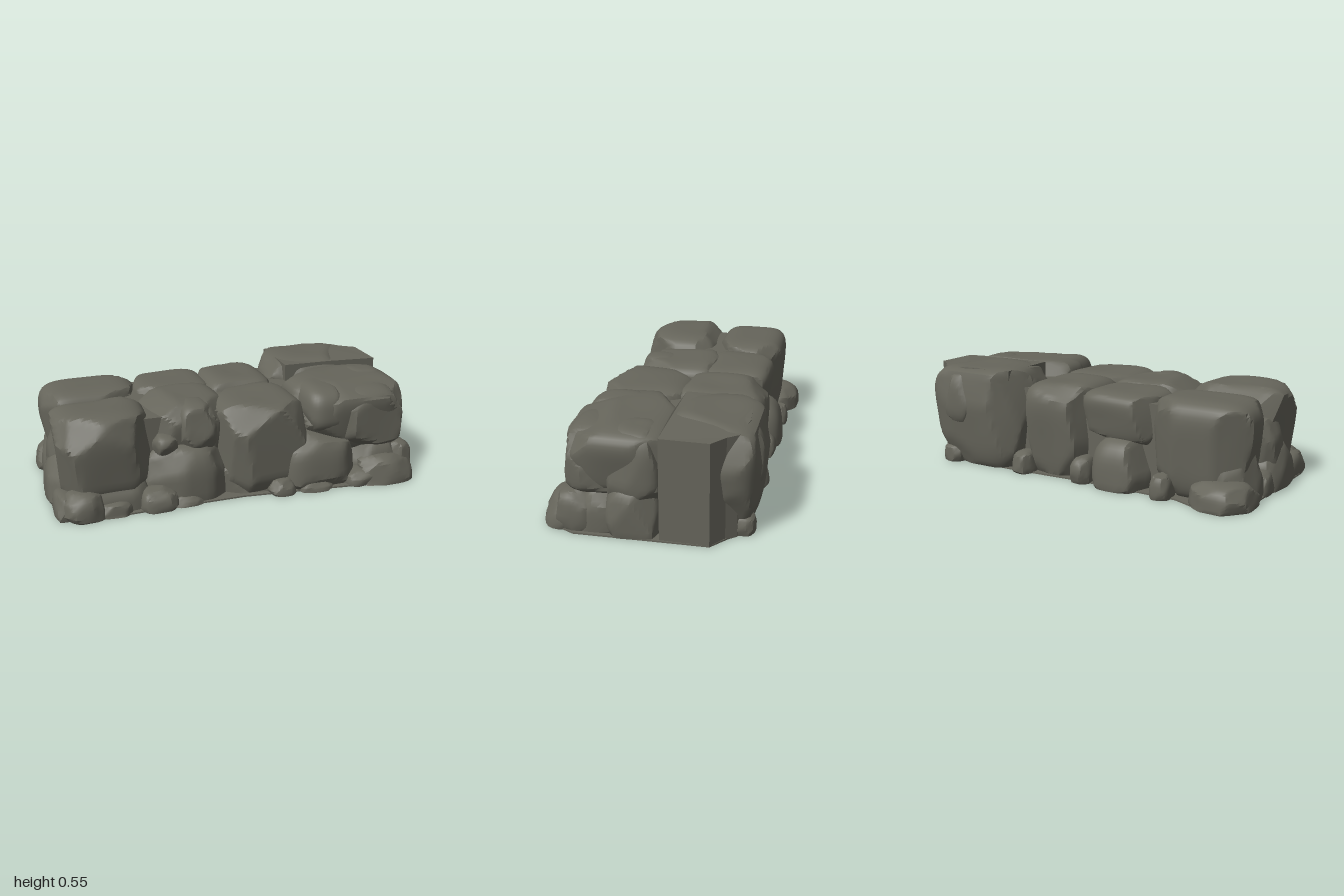
import * as THREE from 'three';
import { mergeVertices, toCreasedNormals } from 'three/addons/utils/BufferGeometryUtils.js';

const stone = new THREE.MeshStandardMaterial({ color: 0x66655b });
stone.name = 'grey stone';

// small seeded generator
function seeded(seed) {
  let s = seed * 7919 + 17;
  return () => {
    s = (s + 0x6d2b79f5) | 0;
    let t = Math.imul(s ^ (s >>> 15), 1 | s);
    t = (t + Math.imul(t ^ (t >>> 7), 61 | t)) ^ t;
    return ((t ^ (t >>> 14)) >>> 0) / 4294967296;
  };
}

// rounded, lumpy block chipped by random planes, fitted to a box and cut flat at the ground
function rock(min, max, seed, { power, segments, taper }) {
  const rnd = seeded(seed);
  const cuts = [];
  for (let i = 0; i < 22; i++) {
    const n = new THREE.Vector3(rnd() * 2 - 1, (rnd() * 2 - 1) * 0.7, rnd() * 2 - 1).normalize();
    const q = power / (power - 1);
    const reach = Math.pow(Math.abs(n.x) ** q + Math.abs(n.y) ** q + Math.abs(n.z) ** q, 1 / q);
    cuts.push({ n, d: reach * (0.82 + rnd() * 0.14) });
  }
  const phase = rnd() * 6;
  let geo = new THREE.BoxGeometry(2, 2, 2, segments, segments, segments);
  geo.deleteAttribute('uv');
  geo.deleteAttribute('normal');
  geo = mergeVertices(geo);
  const pos = geo.attributes.position;
  const v = new THREE.Vector3();
  for (let i = 0; i < pos.count; i++) {
    v.fromBufferAttribute(pos, i);
    const k = Math.abs(v.x) ** power + Math.abs(v.y) ** power + Math.abs(v.z) ** power;
    v.multiplyScalar(Math.pow(k, -1 / power));
    let scale = 1;
    for (const { n, d } of cuts) {
      const t = n.dot(v);
      if (t > d) scale = Math.min(scale, d / t);
    }
    scale *= 1 + 0.025 * Math.sin(3.1 * v.x + phase) * Math.sin(2.7 * v.z + 2 * phase) * Math.cos(2.3 * v.y + phase);
    v.multiplyScalar(scale);
    const widen = 1 + taper * v.y;
    pos.setXYZ(i, v.x * widen, v.y, v.z * widen);
  }
  geo.computeBoundingBox();
  const b = geo.boundingBox;
  const fit = (a, axis) => THREE.MathUtils.mapLinear(a, b.min[axis], b.max[axis], min[axis], max[axis]);
  for (let i = 0; i < pos.count; i++) {
    pos.setXYZ(i, fit(pos.getX(i), 'x'), Math.max(0, fit(pos.getY(i), 'y')), fit(pos.getZ(i), 'z'));
  }
  geo.computeVertexNormals();
  return toCreasedNormals(geo, 0.5);
}

// upright block from an x, z outline
function prism(outline, height) {
  const shape = new THREE.Shape(outline.map(([x, z]) => new THREE.Vector2(x, -z)));
  return new THREE.ExtrudeGeometry(shape, { depth: height, bevelEnabled: false }).rotateX(-Math.PI / 2);
}

// each entry: x from, x to, y from, y to, z from, z to
const capstones = [
  // front row
  [-0.96, -0.45, -0.05, 0.51, -0.1, 0.39],
  [-0.5, -0.02, 0.1, 0.5, -0.16, 0.3],
  [-0.12, 0.37, -0.03, 0.49, -0.08, 0.43],
  [0.34, 0.975, 0.14, 0.53, -0.11, 0.42],
  // back row
  [-0.96, -0.41, -0.02, 0.5, -0.45, -0.05],
  [-0.45, -0.02, 0.2, 0.49, -0.43, -0.06],
  [-0.07, 0.35, -0.1, 0.5, -0.46, 0.04],
  [0.33, 0.93, -0.05, 0.55, -0.52, -0.04],
];
const boulders = [
  // front
  [-0.53, -0.05, -0.12, 0.3, 0, 0.4],
  [0.21, 0.66, -0.12, 0.32, 0.05, 0.47],
  [0.51, 0.96, 0.16, 0.51, 0.05, 0.44],
  [-0.33, -0.11, 0.24, 0.5, 0.05, 0.34],
  [0.36, 0.62, 0.28, 0.53, 0, 0.41],
  [-0.9, -0.44, -0.15, 0.2, 0, 0.39],
  [-0.15, 0.28, -0.15, 0.18, 0, 0.4],
  [0.6, 0.98, -0.15, 0.24, 0.08, 0.44],
  // right end
  [0.6, 1, -0.2, 0.28, -0.09, 0.22],
  [0.68, 0.98, 0.12, 0.53, -0.09, 0.22],
  // left end
  [-1, -0.7, -0.15, 0.25, -0.12, 0.26],
  [-0.97, -0.7, 0.05, 0.38, -0.12, 0.12],
  [-0.97, -0.6, -0.1, 0.3, -0.42, -0.1],
  // back
  [-0.42, -0.1, -0.12, 0.27, -0.5, -0.1],
  [0.58, 0.84, 0.2, 0.54, -0.53, -0.2],
  [-0.99, -0.67, -0.06, 0.13, -0.535, -0.22],
];
const pebbles = [
  [-0.96, -0.73, -0.04, 0.14, 0.22, 0.45],
  [-0.99, -0.87, -0.04, 0.12, 0.15, 0.4],
  [-0.78, -0.6, -0.04, 0.07, 0.3, 0.43],
  [-0.56, -0.36, -0.04, 0.11, 0.28, 0.45],
  [-0.4, -0.22, -0.03, 0.05, 0.3, 0.43],
  [-0.46, -0.33, 0.25, 0.36, 0.15, 0.34],
  [0.13, 0.28, -0.03, 0.08, 0.33, 0.48],
  [0.3, 0.5, -0.03, 0.05, 0.36, 0.49],
  [0.57, 0.8, -0.03, 0.08, 0.33, 0.5],
  [0.65, 0.98, -0.06, 0.15, 0.26, 0.53],
  [0.83, 0.99, -0.04, 0.2, 0.25, 0.46],
  [-0.58, -0.47, -0.03, 0.12, -0.5, -0.36],
  [-0.11, 0.01, -0.03, 0.14, -0.49, -0.33],
  [0.25, 0.38, -0.03, 0.12, -0.5, -0.34],
  [0.72, 0.86, -0.03, 0.1, -0.5, -0.34],
  [-0.98, -0.86, -0.03, 0.12, -0.2, -0.04],
];

export function createModel() {
  const group = new THREE.Group();
  const add = (geometry, name) => {
    const mesh = new THREE.Mesh(geometry, stone);
    mesh.name = name;
    group.add(mesh);
  };
  let seed = 1;
  const addRocks = (list, name, style) => list.forEach(([x0, x1, y0, y1, z0, z1], i) =>
    add(rock({ x: x0, y: y0, z: z0 }, { x: x1, y: y1, z: z1 }, seed++, style), name + (i + 1)));

  addRocks(capstones, 'capstone', { power: 4.5, segments: 18, taper: 0.1 });
  addRocks(boulders, 'boulder', { power: 3.2, segments: 12, taper: -0.06 });
  addRocks(pebbles, 'pebble', { power: 3, segments: 8, taper: -0.08 });

  // solid heart closing the gaps between the rocks
  add(prism([[-0.86, 0.24], [0.86, 0.28], [0.88, -0.3], [0.7, -0.36], [-0.84, -0.34]], 0.445), 'core');

  // block at the right end with a flat cut face, its top rising gently to meet the capstone
  const endBlock = prism([[0.42, -0.08], [0.7, -0.07], [0.98, -0.07], [0.98, -0.31], [0.9, -0.37], [0.86, -0.42],
    [0.7, -0.45], [0.42, -0.42]], 0.53);
  const p = endBlock.attributes.position;
  for (let i = 0; i < p.count; i++) {
    if (p.getY(i) > 0.1 && p.getX(i) < 0.8) p.setY(i, 0.54);
  }
  endBlock.computeVertexNormals();
  add(endBlock, 'flatEndBlock');

  // thin footing with the ragged ground outline
  add(prism([[-0.99, 0.3], [-0.9, 0.42], [-0.5, 0.41], [0, 0.41], [0.35, 0.45], [0.7, 0.49], [0.93, 0.5],
    [1, 0.35], [0.98, -0.31], [0.82, -0.44], [0.4, -0.45], [0, -0.43], [-0.6, -0.44], [-0.75, -0.5],
    [-0.95, -0.47], [-0.97, -0.1]], 0.008), 'footing');
  return group;
}
